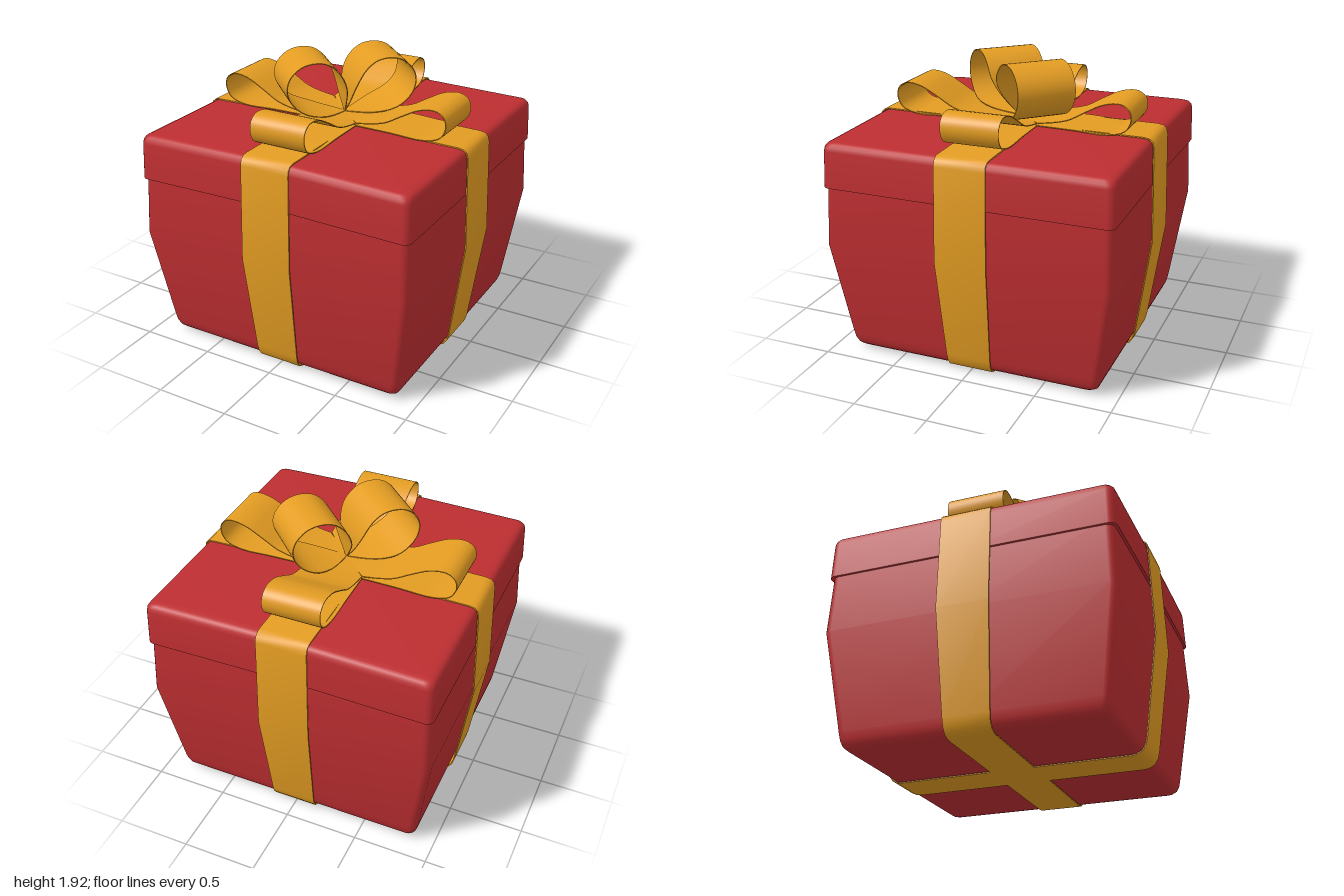
import * as THREE from 'three';
import { toCreasedNormals } from 'three/addons/utils/BufferGeometryUtils.js';

const red = new THREE.MeshStandardMaterial({ color: 0xbd2e31 });
const gold = new THREE.MeshStandardMaterial({ color: 0xe39c22, side: THREE.DoubleSide });

// Skin over rings of equal point count, ordered anticlockwise about the direction of travel
function loft(rings, closed = false) {
  const n = rings[0].length, index = [];
  const count = closed ? rings.length : rings.length - 1;
  for (let i = 0; i < count; i++) {
    const k = (i + 1) % rings.length;
    for (let j = 0; j < n; j++) {
      const m = (j + 1) % n;
      const a = i * n + j, b = i * n + m, c = k * n + m, d = k * n + j;
      index.push(a, b, c, a, c, d);
    }
  }
  const geo = new THREE.BufferGeometry();
  geo.setAttribute('position', new THREE.Float32BufferAttribute(rings.flat(2), 3));
  geo.setIndex(index);
  return toCreasedNormals(geo, 0.7);
}

// Rounded square of half width h at height y; bend lifts the middle line x = 0
function squareRing([h, y], bend) {
  const r = Math.min(0.05, h), ring = [];
  const add = (x, z) => ring.push([x, y + bend * (1 - Math.abs(x) / 0.975), z]);
  for (let k = 0; k < 4; k++) {
    const a = k * Math.PI / 2, s = Math.round(Math.sin(a)), c = Math.round(Math.cos(a));
    add(s * h, c * h);
    for (let i = 0; i <= 5; i++) {
      const t = a + i * Math.PI / 10;
      add((s + c) * (h - r) + r * Math.sin(t), (c - s) * (h - r) + r * Math.cos(t));
    }
  }
  return ring;
}

// Thin band following [x, y] points, its width running along z
function ribbon(points, halfWidth, closed, thickness = 0.008) {
  const n = points.length, t = thickness / 2;
  const rings = points.map(([x, y], i) => {
    const p = points[closed ? (i + n - 1) % n : Math.max(i - 1, 0)];
    const q = points[closed ? (i + 1) % n : Math.min(i + 1, n - 1)];
    const len = Math.hypot(q[0] - p[0], q[1] - p[1]);
    const nx = -(q[1] - p[1]) / len * t, ny = (q[0] - p[0]) / len * t;
    const w = halfWidth(x, y);
    return [[x + nx, y + ny, w], [x - nx, y - ny, w], [x - nx, y - ny, -w], [x + nx, y + ny, -w]];
  });
  return loft(rings, closed);
}

const smooth = (pts, samples) =>
  new THREE.CatmullRomCurve3(pts.map(([x, y]) => new THREE.Vector3(x, y, 0)), false, 'centripetal')
    .getPoints(samples).map(p => [p.x, p.y]);

export function createModel() {
  const group = new THREE.Group();
  const add = (name, geo, mat, turn = 0) => {
    const mesh = new THREE.Mesh(geo, mat);
    mesh.name = name;
    mesh.rotation.y = turn;
    group.add(mesh);
  };

  // Tapered box body
  const body = [[0, 0.014], [0.81, 0.014], [0.835, 0.02], [0.858, 0.04], [0.872, 0.075],
    [0.88, 0.12], [0.973, 0.78], [0.955, 1.22], [0, 1.22]];
  add('boxBody', loft(body.map(p => squareRing(p, 0))), red);

  // Lid, slightly raised along its middle
  const lid = [[0, 1.176], [0.974, 1.176], [0.966, 1.42], [0.961, 1.446], [0.948, 1.464],
    [0.925, 1.473], [0.89, 1.475], [0, 1.475]];
  add('lid', loft(lid.map(p => squareRing(p, 0.017))), red);

  // Two straps right round the box
  const strapWidth = (x, y) => y < 0.8 ? 0.15 + 0.025 * y / 0.8 : 0.175 - 0.005 * (y - 0.8) / 0.7;
  const strap = (centreY, edgeY) => {
    const half = [[0.2, centreY - (centreY - edgeY) * 0.2], [0.91, edgeY], [0.945, edgeY - 0.006],
      [0.967, edgeY - 0.025], [0.975, edgeY - 0.06], [0.994, 0.8], [0.897, 0.11],
      [0.885, 0.062], [0.86, 0.025], [0.825, 0.008], [0.79, 0.004]];
    const mirrored = half.map(([x, y]) => [-x, y]).reverse();
    return ribbon([[0, centreY], ...half, [0, 0.004], ...mirrored], strapWidth, true);
  };
  add('sideStrap', strap(1.498, 1.481), gold);
  add('frontStrap', strap(1.499, 1.497), gold, Math.PI / 2);

  // Four low bow loops, mitred where they meet in the middle
  const low = smooth([[0, 1.506], [0.2, 1.52], [0.4, 1.56], [0.52, 1.625], [0.65, 1.69], [0.76, 1.702],
    [0.815, 1.665], [0.827, 1.6], [0.79, 1.53], [0.68, 1.495], [0.45, 1.5], [0.2, 1.503], [0, 1.503]], 48);
  const lowWidth = x => Math.min(0.195, Math.abs(x));
  for (let i = 0; i < 4; i++) add('lowBowLoop', ribbon(low, lowWidth, false, 0.006), gold, i * Math.PI / 2);

  // Two tall bow loops on the diagonal, pinched at the knot
  const tall = smooth([[0, 1.51], [0.012, 1.6], [0.03, 1.72], [0.08, 1.83], [0.16, 1.9], [0.25, 1.917],
    [0.34, 1.895], [0.41, 1.83], [0.432, 1.755], [0.41, 1.67], [0.33, 1.59], [0.17, 1.535], [0, 1.51]], 40);
  const tallWidth = (x, y) => 0.01 + 0.19 * Math.sin(Math.PI / 2 * Math.min(1, Math.hypot(x, y - 1.51) / 0.32));
  for (let i = 0; i < 2; i++) add('tallBowLoop', ribbon(tall, tallWidth, false, 0.006), gold, Math.PI / 4 + i * Math.PI);

  return group;
}
